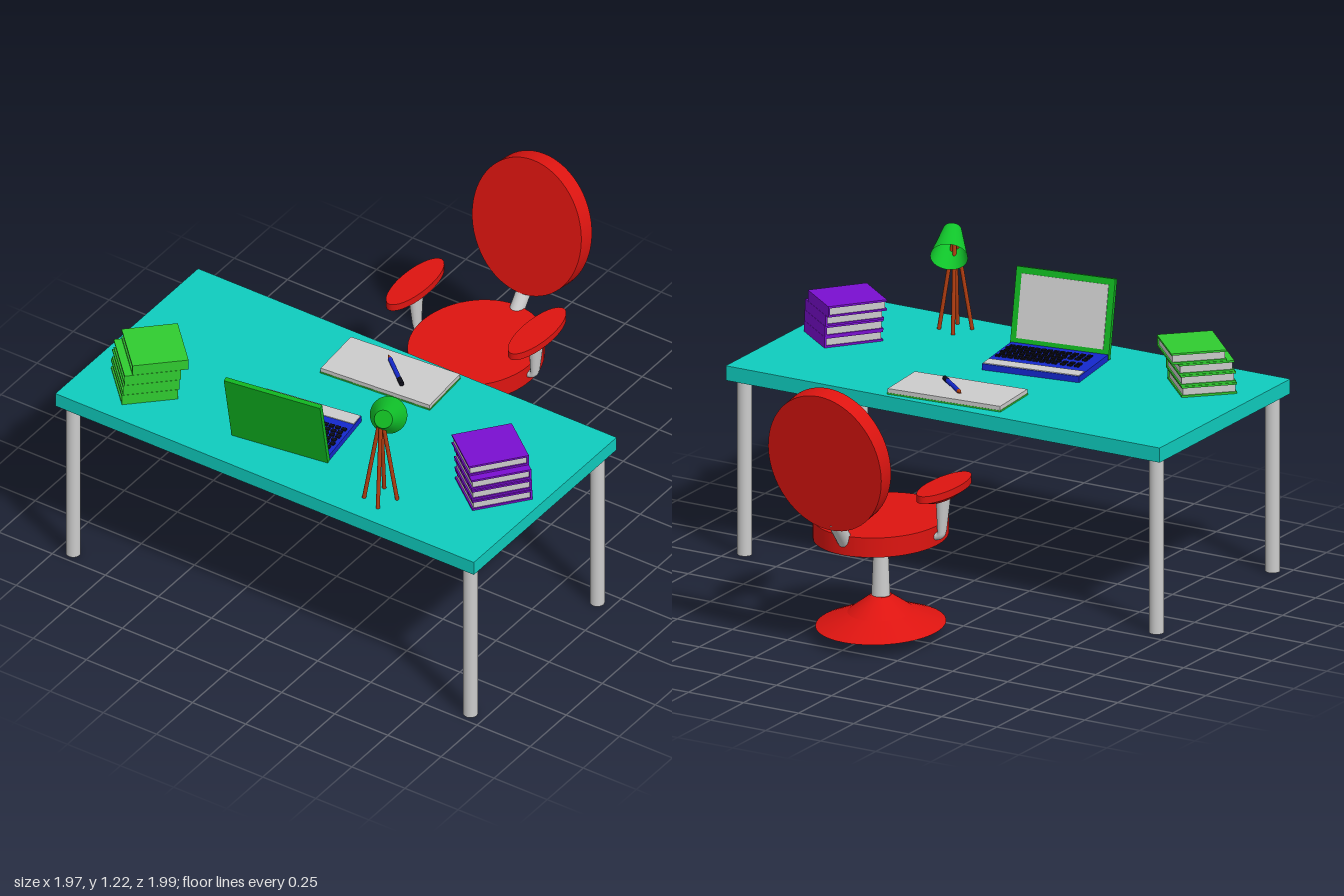
import * as THREE from 'three';

const mat = (color, side = THREE.FrontSide) => new THREE.MeshStandardMaterial({ color, side });
const GREY = mat(0xcccccc), TEAL = mat(0x0fccbe), RED = mat(0xdd1410), GREEN = mat(0x10b420),
  LIME = mat(0x30cc30), BLUE = mat(0x1428cc), PURPLE = mat(0x7a0fd0), BROWN = mat(0xb03c10),
  BLACK = mat(0x0c0c18), SHADE = mat(0x10c42a, THREE.DoubleSide);

const V = (x, y, z) => new THREE.Vector3(x, y, z);

function add(parent, name, geometry, material, x = 0, y = 0, z = 0) {
  const mesh = new THREE.Mesh(geometry, material);
  mesh.name = name;
  mesh.position.set(x, y, z);
  parent.add(mesh);
  return mesh;
}

function group(parent, name, x = 0, y = 0, z = 0) {
  const g = new THREE.Group();
  g.name = name;
  g.position.set(x, y, z);
  parent.add(g);
  return g;
}

const box = (w, h, d) => new THREE.BoxGeometry(w, h, d);

// Elliptical disc or frustum resting on y
function disc(parent, name, material, rTop, rBottom, y0, y1, sx = 1, sz = 1, x = 0, z = 0) {
  const m = add(parent, name, new THREE.CylinderGeometry(rTop, rBottom, y1 - y0, 48), material, x, (y0 + y1) / 2, z);
  m.scale.set(sx, 1, sz);
  return m;
}

// Round rod from a to b, radius ra at a and rb at b
function rod(parent, name, material, a, b, ra, rb = ra, open = false, sides = 16) {
  const d = b.clone().sub(a);
  const m = add(parent, name, new THREE.CylinderGeometry(rb, ra, d.length(), sides, 1, open), material);
  m.position.copy(a).lerp(b, 0.5);
  m.quaternion.setFromUnitVectors(V(0, 1, 0), d.normalize());
  return m;
}

function buildDesk(root) {
  const desk = group(root, 'desk');
  add(desk, 'deskTop', box(1.97, 0.06, 0.99), TEAL, 0, 0.752, 0.505);
  for (const x of [-0.935, 0.935])
    for (const z of [0.07, 0.95]) disc(desk, 'deskLeg', GREY, 0.029, 0.029, 0, 0.722, 1, 1, x, z);
}

function buildChair(root) {
  const chair = group(root, 'chair', -0.035, 0, -0.518);
  // Flared foot, column and seat
  disc(chair, 'chairFootRim', RED, 0.125, 0.245, 0.052, 0.105, 1, 1.15);
  disc(chair, 'chairFootCone', RED, 0.04, 0.125, 0.105, 0.17, 1, 1.15);
  disc(chair, 'chairColumn', GREY, 0.027, 0.037, 0.16, 0.42);
  disc(chair, 'chairSeat', RED, 1, 1, 0.415, 0.495, 0.255, 0.293);

  // Reclined round back with its bracket
  const back = add(chair, 'chairBack', new THREE.CylinderGeometry(1, 1, 0.075, 64), RED, 0, 0.835, -0.388);
  back.rotation.x = Math.PI / 2 - 0.174;
  back.scale.set(0.255, 1, 0.294);
  rod(chair, 'backBracket', GREY, V(0, 0.46, -0.265), V(0, 0.575, -0.355), 0.03);

  // Armrests: oval pad, tapered underside, post and bent foot
  for (const s of [-1, 1]) {
    const arm = group(chair, s > 0 ? 'leftArmrest' : 'rightArmrest');
    disc(arm, 'armPad', RED, 1, 1, 0.642, 0.672, 0.063, 0.18, s * 0.287);
    disc(arm, 'armPadUnderside', RED, 1, 0.5, 0.617, 0.642, 0.063, 0.18, s * 0.287);
    const post = rod(arm, 'armPost', GREY, V(s * 0.278, 0.475, 0), V(s * 0.284, 0.618, 0), 0.016, 0.026);
    post.scale.z = 1.45;
    const bend = new THREE.CatmullRomCurve3([V(s * 0.278, 0.485, 0), V(s * 0.274, 0.464, 0), V(s * 0.262, 0.455, 0), V(s * 0.235, 0.453, 0)]);
    const foot = add(arm, 'armPostBend', new THREE.TubeGeometry(bend, 12, 0.016, 12), GREY);
    foot.scale.z = 1.4;
  }
}

function buildBooks(root, name, x, z, turn, cover) {
  const stack = group(root, name, x, 0.782, z);
  stack.rotation.y = turn;
  const W = 0.245, L = 0.222, H = 0.046, T = 0.008;
  [0.042, 0.037, 0.031, 0].forEach((shift, i) => {
    const book = group(stack, 'book', 0, i * H, shift);
    add(book, 'lowerCover', box(W, T, L), cover, 0, T / 2, 0);
    add(book, 'upperCover', box(W, T, L), cover, 0, H - T / 2 - 0.001, 0);
    add(book, 'spine', box(T, H - 0.001, L), cover, W / 2 - T / 2, H / 2 - 0.0005, 0);
    add(book, 'pages', box(W - 0.012, H - 2 * T, L - 0.012), GREY, 0, H / 2, 0);
  });
}

function buildLaptop(root) {
  const laptop = group(root, 'laptop', -0.1, 0.782, 0.508);
  laptop.rotation.y = 0.142;
  add(laptop, 'laptopBase', box(0.411, 0.025, 0.3), BLUE, 0, 0.0125, 0.15);
  add(laptop, 'palmRest', box(0.405, 0.004, 0.06), GREY, 0, 0.026, 0.034);

  // Main key block and number pad
  const key = (x, z, w) => add(laptop, 'key', box(w, 0.006, 0.016), BLACK, x, 0.028, z);
  for (let r = 0; r < 6; r++) {
    for (let c = 0; c < 10; c++) key(-0.055 + c * 0.0265 - (r % 2) * 0.006, 0.112 + r * 0.026, 0.019);
    if (r !== 2) for (let c = 0; c < 3; c++) key(-0.15 + c * 0.03, 0.112 + r * 0.026, 0.019);
  }

  // Tilted lid with the display facing the chair
  const lid = group(laptop, 'laptopLid', 0, 0.006, 0.288);
  lid.rotation.x = 0.22;
  add(lid, 'lidShell', box(0.417, 0.318, 0.02), GREEN, 0, 0.159, 0.01);
  add(lid, 'display', box(0.367, 0.255, 0.004), GREY, 0, 0.165, -0.001);
}

function buildNotepad(root) {
  const pad = group(root, 'notepad', 0.029, 0.782, 0.171);
  pad.rotation.y = 0.075;
  add(pad, 'padBacking', box(0.494, 0.006, 0.24), LIME, 0, 0.003, 0);
  add(pad, 'padSheets', box(0.49, 0.017, 0.237), GREY, 0, 0.0145, 0);

  const tip = V(-0.03, 0.817, 0.1), end = V(0.123, 0.817, 0.23);
  const at = (t) => tip.clone().lerp(end, t);
  const pen = group(root, 'pen');
  rod(pen, 'penTip', BROWN, at(0), at(0.15), 0.001, 0.009);
  rod(pen, 'penBarrel', BLUE, at(0.15), at(0.82), 0.009);
  rod(pen, 'penCap', BLACK, at(0.82), at(1), 0.01);
}

function buildLamp(root) {
  const lamp = group(root, 'deskLamp');
  // Four splayed legs meeting below the shade
  const feet = [[0.392, 0.888], [0.475, 0.915], [0.505, 0.825], [0.422, 0.792]];
  for (const [x, z] of feet)
    rod(lamp, 'lampLeg', BROWN, V(x, 0.782, z), V(0.45 + (x - 0.45) * 0.1, 1.15, 0.855 + (z - 0.855) * 0.1), 0.008);

  // Conical shade, open at the wide end
  const small = V(0.472, 1.184, 0.872), wide = V(0.418, 1.112, 0.756);
  rod(lamp, 'lampShade', SHADE, small, wide, 0.036, 0.074, true, 32);
  const inner = small.clone().lerp(wide, 0.03);
  rod(lamp, 'lampShadeCap', GREEN, small, inner, 0.036, 0.036, false, 32);
  rod(lamp, 'lampSocket', GREEN, V(0.45, 1.13, 0.855), V(0.465, 1.175, 0.86), 0.013);
}

export function createModel() {
  const root = new THREE.Group();
  root.name = 'officeDeskSet';
  buildDesk(root);
  buildChair(root);
  buildBooks(root, 'greenBooks', -0.705, 0.721, -0.8, LIME);
  buildBooks(root, 'purpleBooks', 0.745, 0.532, 0.905, PURPLE);
  buildLaptop(root);
  buildNotepad(root);
  buildLamp(root);
  return root;
}
